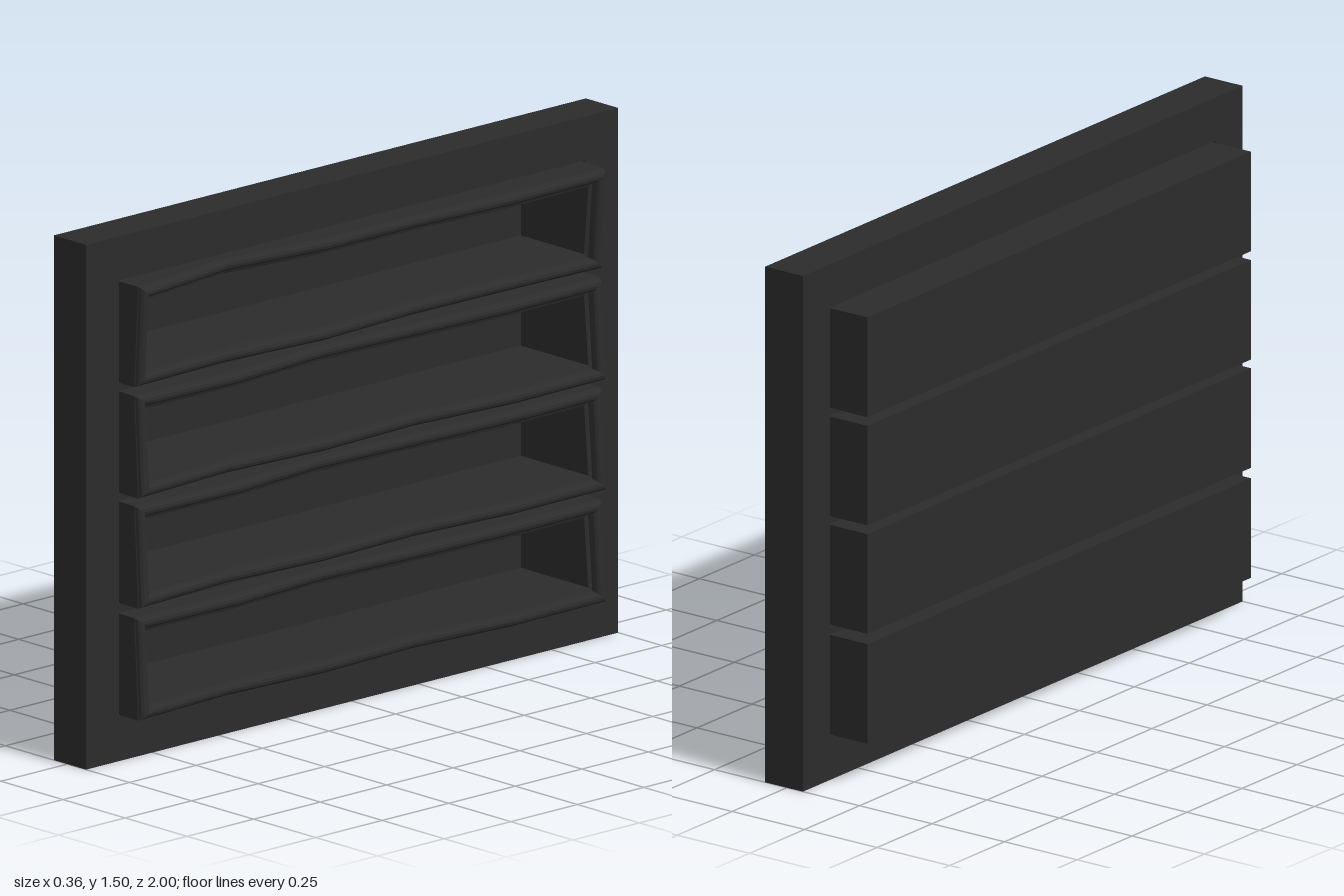
import * as THREE from 'three';

const HALF = 0.872;      // half length of a tray
const HEIGHT = 0.29;     // height of a tray
const BACK = -0.18;      // closed back of a tray
const FLOOR = -0.13;     // bottom of the recess
const STATIONS = [1, 0.6, 0.2, -0.2, -0.6, -1];

// Each tray: base height and how far its wavy top and bottom lips reach
const TRAYS = [
  { y: 1.08, top: [0.165, 0.12, 0.16, 0.16, 0.178, 0.172], bottom: [0.15, 0.135, 0.162, 0.14, 0.145, 0.155] },
  { y: 0.765, top: [0.15, 0.16, 0.13, 0.145, 0.16, 0.155], bottom: [0.165, 0.14, 0.165, 0.15, 0.178, 0.172] },
  { y: 0.45, top: [0.15, 0.16, 0.13, 0.145, 0.16, 0.155], bottom: [0.165, 0.14, 0.165, 0.15, 0.178, 0.172] },
  { y: 0.13, top: [0.15, 0.16, 0.135, 0.15, 0.16, 0.155], bottom: [0.165, 0.145, 0.165, 0.15, 0.178, 0.172] },
];

// Section through the rim: inset from the outside, depth behind the lip
function rimProfile() {
  const points = [[0, 0.035], [0, 0.018]];
  for (let i = 0; i <= 6; i++) {
    const a = Math.PI * (1 - i / 6);
    points.push([0.018 + 0.016 * Math.cos(a), 0.016 - 0.016 * Math.sin(a)]);
  }
  points.push([0.036, 0.026], [0.047, 0.03]);
  return points;
}

// One closed loop around the tray: along the top, then back along the bottom
function ring(tray, inset, depth, fixedX) {
  const row = (reach, y) => STATIONS.map((s, i) =>
    [fixedX ?? reach[i] - depth, y, s * (HALF - inset)]);
  return [
    ...row(tray.top, tray.y + HEIGHT - inset),
    ...row(tray.bottom, tray.y + inset).reverse(),
  ];
}

function trayGeometry(tray) {
  const rings = [
    ring(tray, 0, 0, BACK),
    ...rimProfile().map(([inset, depth]) => ring(tray, inset, depth)),
    ring(tray, 0.047, 0, FLOOR),
  ];
  const positions = [];
  const quad = (a, b, c, d) => positions.push(...a, ...b, ...c, ...a, ...c, ...d);

  // Outer walls, rounded lip and inner walls
  for (let r = 0; r < rings.length - 1; r++) {
    const a = rings[r], b = rings[r + 1];
    for (let i = 0; i < a.length; i++) {
      const j = (i + 1) % a.length;
      quad(a[i], b[i], b[j], a[j]);
    }
  }
  // Closed back and recess floor
  const back = rings[0], floor = rings[rings.length - 1];
  for (let i = 0; i < 5; i++) {
    quad(floor[i], floor[11 - i], floor[10 - i], floor[i + 1]);
    quad(back[i], back[i + 1], back[10 - i], back[11 - i]);
  }
  const geometry = new THREE.BufferGeometry();
  geometry.setAttribute('position', new THREE.Float32BufferAttribute(positions, 3));
  geometry.computeVertexNormals();
  return geometry;
}

function rectangle(path, halfWidth, y0, y1) {
  path.moveTo(-halfWidth, y0);
  path.lineTo(halfWidth, y0);
  path.lineTo(halfWidth, y1);
  path.lineTo(-halfWidth, y1);
  path.closePath();
  return path;
}

export function createModel() {
  const group = new THREE.Group();
  group.name = 'trayPanel';
  const charcoal = new THREE.MeshStandardMaterial({ color: 0x2c2c2c });
  charcoal.name = 'charcoal';

  // Upright panel with a slightly oversized slot for every tray
  const gap = 0.004;
  const outline = rectangle(new THREE.Shape(), 1, 0, 1.5);
  for (const { y } of TRAYS) {
    outline.holes.push(rectangle(new THREE.Path(), HALF + gap, y - gap, y + HEIGHT + gap));
  }
  const panelGeometry = new THREE.ExtrudeGeometry(outline, { depth: 0.13, bevelEnabled: false });
  panelGeometry.rotateY(Math.PI / 2).translate(-0.055, 0, 0);
  const panel = new THREE.Mesh(panelGeometry, charcoal);
  panel.name = 'panel';
  group.add(panel);

  // Recessed trays with wavy rounded lips
  TRAYS.forEach((tray, i) => {
    const mesh = new THREE.Mesh(trayGeometry(tray), charcoal);
    mesh.name = `tray${i + 1}`;
    group.add(mesh);
  });
  return group;
}
